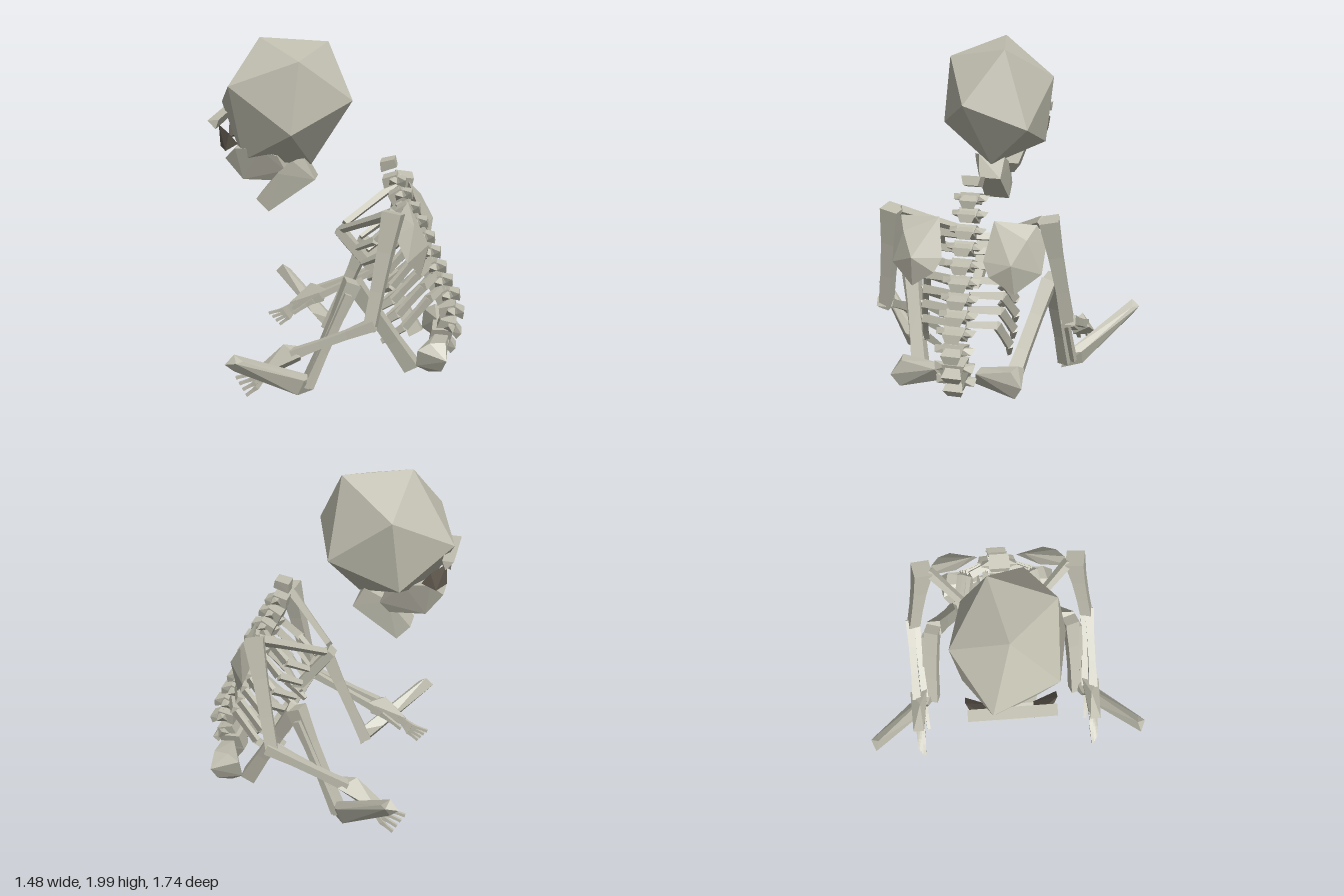
import * as THREE from 'three';
import { ConvexGeometry } from 'three/addons/geometries/ConvexGeometry.js';

export function createModel() {
  const model = new THREE.Group();
  const bone = new THREE.MeshStandardMaterial({ color: 0xbfbdae });
  bone.name = 'bone';
  const shade = new THREE.MeshStandardMaterial({ color: 0x665f54 });
  shade.name = 'dark bone';
  const V = (p) => new THREE.Vector3(...p);

  function add(name, geometry, material = bone) {
    const mesh = new THREE.Mesh(geometry, material);
    mesh.name = name;
    model.add(mesh);
    return mesh;
  }

  // Faceted solid around a few corners, optionally mirrored in z
  function hull(name, points, s = 1, material = bone) {
    return add(name, new ConvexGeometry(points.map(([x, y, z]) => new THREE.Vector3(x, y, z * s))), material);
  }

  // Solid symmetrical in z: each corner is [x, y, halfWidth]
  function symmetric(name, points) {
    return hull(name, points.flatMap(([x, y, z]) => [[x, y, z], [x, y, -z]]));
  }

  // Four-sided bone from a to b, with end widths and a waist
  function shaft(name, a, b, wa, wb, waist = 0.8, flat = 1) {
    const from = V(a), to = V(b), length = from.distanceTo(to);
    let g = new THREE.CylinderGeometry(1, 1, length, 4, 3);
    g.rotateY(Math.PI / 4);
    const p = g.attributes.position;
    for (let i = 0; i < p.count; i++) {
      const t = p.getY(i) / length + 0.5;
      const mid = Math.abs(t - 0.5) < 0.4 ? waist : 1;
      const r = (wa + (wb - wa) * t) * 0.707 * mid;
      p.setXYZ(i, p.getX(i) * r, p.getY(i), p.getZ(i) * r * flat);
    }
    g = g.toNonIndexed();
    g.computeVertexNormals();
    const mesh = add(name, g);
    mesh.position.copy(from).lerp(to, 0.5);
    mesh.quaternion.setFromUnitVectors(new THREE.Vector3(0, 1, 0), to.sub(from).normalize());
    return mesh;
  }

  // Skull: six corners and their opposites through the centre
  const half = [[-0.48, 2, 0], [-0.09, 1.97, -0.09], [0.075, 1.66, 0.12],
    [-0.21, 1.9, 0.275], [-0.25, 1.49, 0.33], [-0.62, 1.75, 0.255]];
  hull('skull', half.flatMap(([x, y, z]) => [[x, y, z], [-0.66 - x, 3.26 - y, 0.015 - z]]));

  // Face
  symmetric('upperJaw', [[-0.68, 1.3, 0.09], [-0.58, 1.17, 0.07], [-0.37, 1.17, 0.08],
    [-0.32, 1.24, 0.12], [-0.36, 1.33, 0.15], [-0.46, 1.37, 0.16], [-0.61, 1.37, 0.14]]);
  // The lower jaw hangs slightly askew
  hull('lowerJaw', [[-0.49, 1.07, 0.14], [-0.49, 1.07, -0.04], [-0.42, 0.99, 0.12], [-0.41, 0.99, -0.04],
    [-0.15, 1.18, 0.08], [-0.15, 1.18, -0.05], [-0.21, 1.31, 0.1], [-0.22, 1.3, -0.06],
    [-0.27, 1.3, 0.14], [-0.36, 1.23, 0.16], [-0.36, 1.23, -0.06]]);
  symmetric('brow', [[-0.745, 1.55, 0.24], [-0.68, 1.555, 0.24], [-0.7, 1.5, 0.24], [-0.72, 1.51, 0.2]]);
  for (const s of [1, -1]) {
    hull('cheekbone', [[-0.7, 1.51, 0.15], [-0.7, 1.38, 0.12], [-0.65, 1.37, 0.22],
      [-0.57, 1.42, 0.25], [-0.62, 1.48, 0.25], [-0.62, 1.42, 0.12]], s, shade);
  }

  // Spine: chunky bodies with side and drooping back processes, growing downwards
  const spine = new THREE.CatmullRomCurve3([[0.28, 1.27, 0], [0.3, 1.16, 0], [0.37, 1.02, 0], [0.45, 0.87, 0],
    [0.51, 0.72, 0], [0.57, 0.57, 0], [0.63, 0.45, 0], [0.65, 0.33, 0], [0.61, 0.2, 0]].map(V));
  const COUNT = 13;
  for (let i = 0; i < COUNT; i++) {
    const t = i / (COUNT - 1), c = spine.getPointAt(t), d = spine.getTangentAt(t);
    const group = new THREE.Group();
    group.name = 'vertebra';
    const parts = [
      symmetric('vertebraBody', [[-0.055, -0.035, 0.05], [-0.05, 0.03, 0.065], [0.04, 0.035, 0.06], [0.045, -0.02, 0.045]]),
    ];
    if (i > 0) {
      parts.push(symmetric('sideProcess', [[0, 0.025, 0.11], [0.035, -0.01, 0.1], [-0.02, -0.02, 0.05], [0.04, 0.025, 0.04]]));
      parts.push(symmetric('backProcess', [[0.02, 0.035, 0.03], [0.085, -0.015, 0.055], [0.07, -0.06, 0.035], [0.02, -0.03, 0.025]]));
    }
    group.add(...parts);
    group.position.copy(c);
    group.rotation.z = Math.atan2(d.x, -d.y);
    group.scale.setScalar(0.95 + 0.15 * t);
    model.add(group);
  }
  symmetric('sacrum', [[0.55, 0.28, 0.09], [0.68, 0.28, 0.09], [0.66, 0.2, 0.06], [0.58, 0.1, 0.02], [0.53, 0.17, 0.05]]);

  // Breastbone
  symmetric('breastbone', [[-0.04, 0.85, 0.05], [0.0, 0.885, 0.05], [0.02, 0.77, 0.035],
    [0.15, 0.62, 0.025], [0.18, 0.65, 0.025], [0.23, 0.61, 0.02]]);

  for (const s of [1, -1]) {
    const P = (x, y, z) => [x, y, z * s];

    // Ribs: three flat pieces each, sloping down to the front
    for (let i = 0; i < 7; i++) {
      const c = spine.getPointAt(0.27 + i * 0.072);
      const wide = 0.17 + 0.1 * Math.sin((i + 1) / 7 * 2.2);
      const reach = i < 4 ? 0.29 : 0.33;
      const drop = 0.2 + i * 0.014;
      const a = P(c.x, c.y, 0.05);
      const b = P(c.x - 0.06, c.y - 0.01, wide * 0.85);
      const m = P(c.x - reach * 0.6, c.y - drop * 0.62, wide);
      const e = P(c.x - reach, c.y - drop, i < 4 ? wide * 0.55 : wide * 0.85);
      shaft('ribBack', a, b, 0.035, 0.045, 1);
      shaft('ribSide', b, m, 0.05, 0.05, 0.9, 0.6);
      shaft('ribFront', m, e, 0.045, 0.03, 1, 0.7);
    }

    // Shoulder
    shaft('collarbone', P(0.01, 0.88, 0.06), P(0.33, 1.08, 0.42), 0.035, 0.05, 0.9);
    hull('shoulderBlade', [[0.37, 1.07, 0.4], [0.4, 1.085, 0.16], [0.49, 0.87, 0.12], [0.52, 0.79, 0.16],
      [0.49, 0.69, 0.3], [0.42, 0.8, 0.44], [0.35, 0.96, 0.45], [0.53, 0.87, 0.29], [0.45, 1.0, 0.36],
      [0.4, 0.9, 0.26]], s);

    // Arm
    shaft('upperArm', P(0.34, 1.1, 0.46), P(0.22, 0.44, 0.56), 0.11, 0.068, 0.85);
    shaft('forearmOuter', P(0.25, 0.48, 0.575), P(-0.22, 0.28, 0.57), 0.06, 0.055, 0.8);
    shaft('forearmInner', P(0.22, 0.47, 0.54), P(-0.2, 0.26, 0.52), 0.05, 0.045, 0.8);
    hull('palm', [[-0.16, 0.3, 0.5], [-0.18, 0.22, 0.51], [-0.17, 0.28, 0.61], [-0.27, 0.33, 0.55],
      [-0.4, 0.16, 0.61], [-0.41, 0.19, 0.54], [-0.39, 0.14, 0.54], [-0.27, 0.19, 0.57]], s);
    for (let f = 0; f < 4; f++) {
      const z = 0.545 + f * 0.012;
      const knuckle = P(-0.45 + f * 0.01, 0.14 - f * 0.022, z);
      shaft('fingerBase', P(-0.36, 0.2 - f * 0.012, z), knuckle, 0.03, 0.026);
      shaft('fingerTip', knuckle, P(-0.55 + f * 0.022, 0.11 - f * 0.03, z), 0.026, 0.018);
    }
    shaft('thumb', P(-0.25, 0.22, 0.52), P(-0.38, 0.13, 0.51), 0.035, 0.022);

    // Hip
    hull('hip', [[0.47, 0.14, 0.32], [0.48, 0.25, 0.36], [0.54, 0.1, 0.3], [0.62, 0.12, 0.34],
      [0.55, 0.29, 0.34], [0.64, 0.29, 0.32], [0.65, 0.2, 0.385], [0.65, 0.26, 0.12],
      [0.58, 0.17, 0.1], [0.57, 0.27, 0.13]], s);

    // Leg
    shaft('thigh', P(0.44, 0.12, 0.27), P(0.12, 0.66, 0.42), 0.09, 0.085, 0.85);
    shaft('shin', P(0.11, 0.68, 0.43), P(-0.15, 0.05, 0.47), 0.09, 0.07, 0.8);
    shaft('outerShin', P(0.09, 0.62, 0.48), P(-0.15, 0.06, 0.52), 0.04, 0.035, 0.8);
    hull('foot', [[-0.12, 0.015, 0.45], [-0.19, 0.03, 0.57], [-0.11, 0.11, 0.47], [-0.15, 0.12, 0.57],
      [-0.26, 0.13, 0.53], [-0.55, 0.31, 0.84], [-0.5, 0.365, 0.82], [-0.48, 0.33, 0.87],
      [-0.45, 0.33, 0.83], [-0.5, 0.27, 0.83]], s);
  }
  return model;
}
